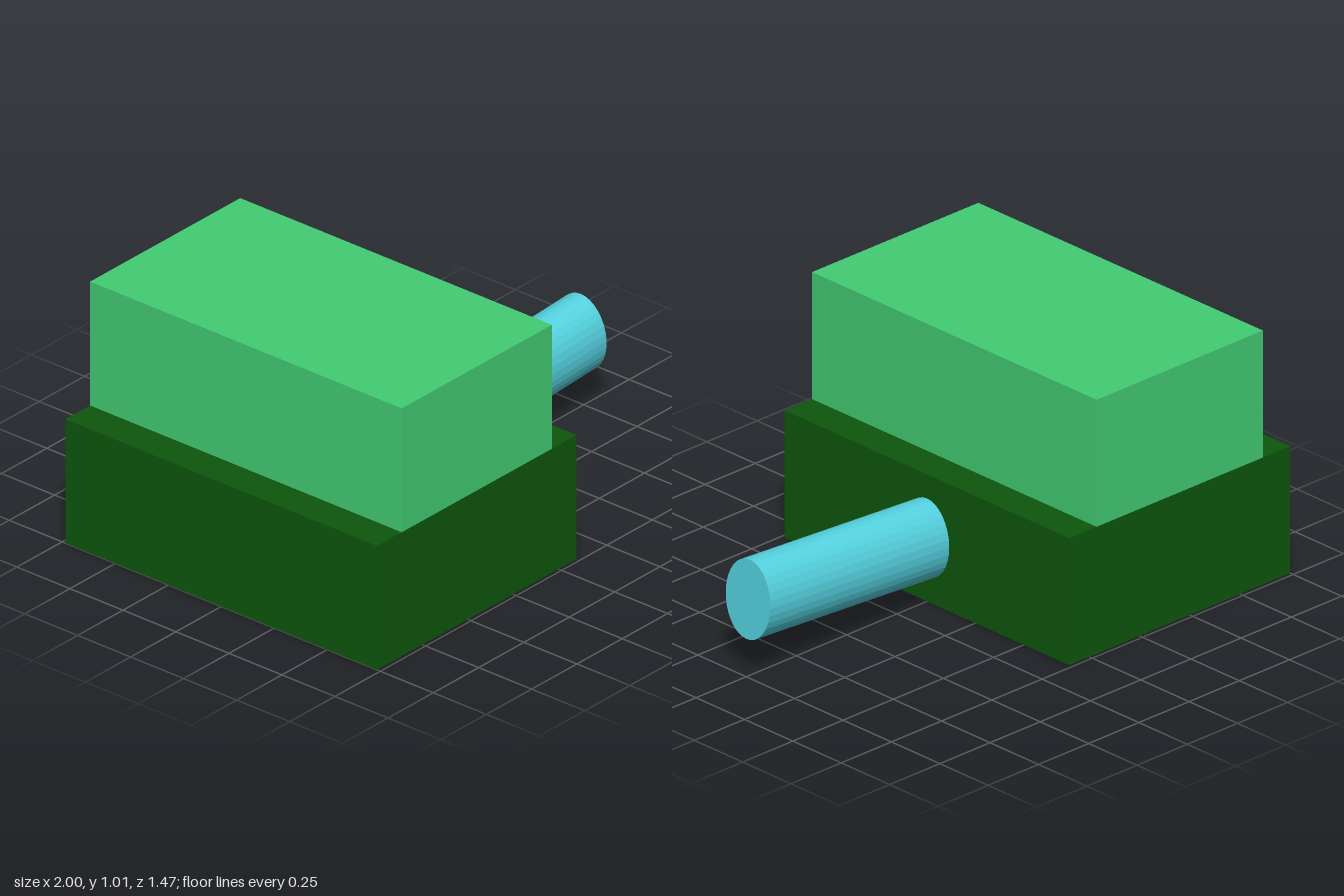
import * as THREE from 'three';

export function createModel() {
  const model = new THREE.Group();
  model.name = 'blockTank';

  const material = (name, color, flatShading = false) => {
    const m = new THREE.MeshStandardMaterial({ color, flatShading });
    m.name = name;
    return m;
  };
  const darkGreen = material('dark green', 0x0d570d);
  const lightGreen = material('light green', 0x42cc73);
  const cyan = material('cyan', 0x55d2e0, true);

  const add = (name, geometry, mat, x, y, z = 0) => {
    const mesh = new THREE.Mesh(geometry, mat);
    mesh.name = name;
    mesh.position.set(x, y, z);
    model.add(mesh);
    return mesh;
  };

  // Wide lower hull with a narrower block of the same depth on top
  add('hull', new THREE.BoxGeometry(1.1, 0.505, 1.47), darkGreen, -0.45, 0.2525);
  add('turret', new THREE.BoxGeometry(0.828, 0.505, 1.47), lightGreen, -0.45, 0.7575);

  // Oval barrel, tilted slightly upward and rooted inside the hull
  const tilt = 0.057;
  const length = 0.95;
  const barrel = new THREE.CylinderGeometry(0.115, 0.115, length, 32);
  barrel.rotateZ(-Math.PI / 2);
  barrel.translate(-length / 2, 0, 0);
  barrel.scale(1, 0.155 / 0.115, 1);
  add('barrel', barrel, cyan, 0.991, 0.305).rotation.z = tilt;

  return model;
}
